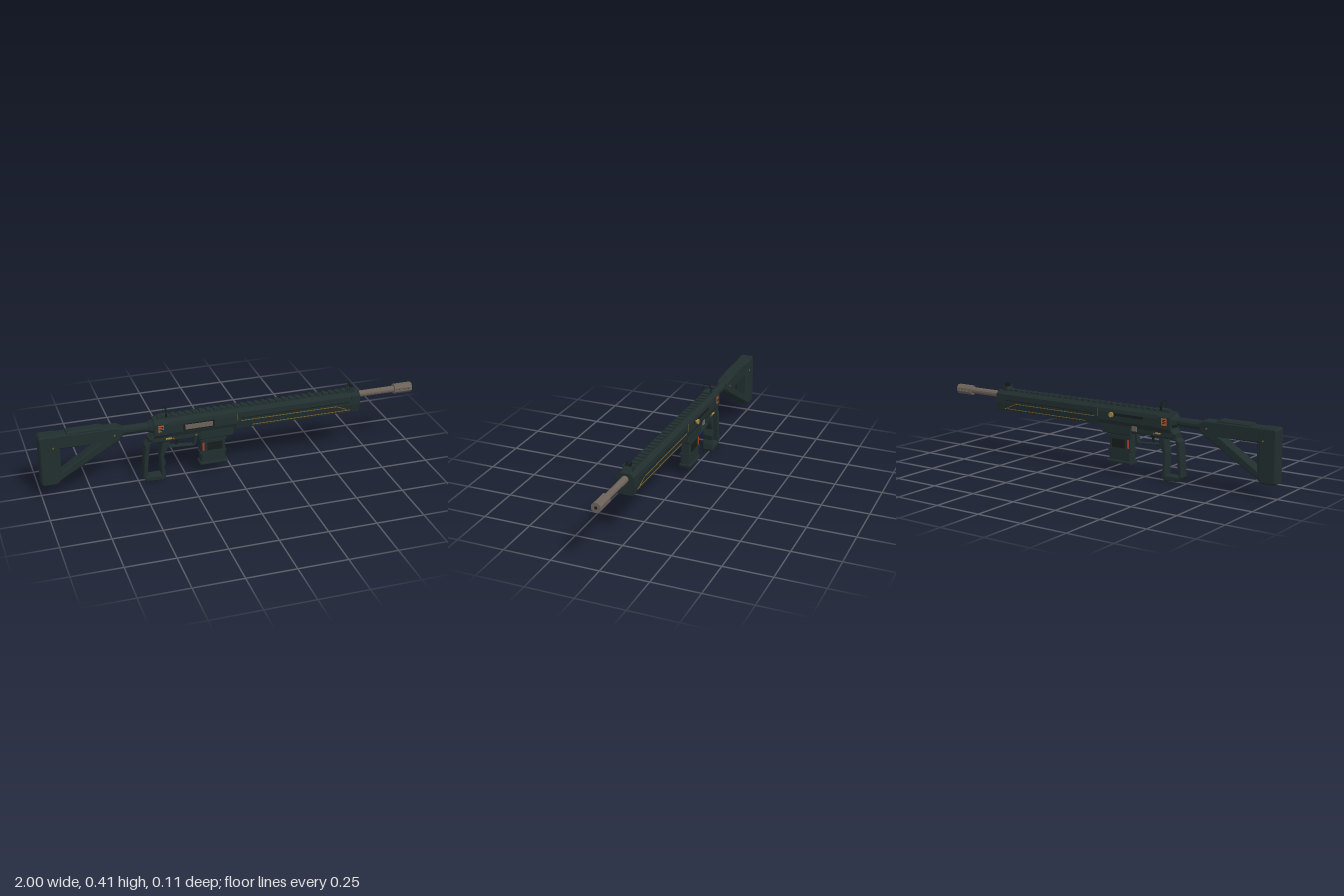
import * as THREE from 'three';

const mat = (name, color) => {
  const m = new THREE.MeshStandardMaterial({ color });
  m.name = name;
  return m;
};

export function createModel() {
  const root = new THREE.Group();
  root.name = 'rifle';
  root.position.z = 0.007;

  const body = mat('dark green polymer', 0x212e2e);
  const dark = mat('near black', 0x161d1d);
  const steel = mat('brown steel', 0x6c625a);
  const gold = mat('gold', 0xa9853c);
  const trim = mat('dark gold trim', 0x80602a);
  const orange = mat('orange', 0xb5582c);
  const red = mat('red', 0xb03a28);

  const add = (name, geo, m, x = 0, y = 0, z = 0, parent = root) => {
    const mesh = new THREE.Mesh(geo, m);
    mesh.name = name;
    mesh.position.set(x, y, z);
    parent.add(mesh);
    return mesh;
  };
  const box = (name, m, x0, x1, y0, y1, z0, z1, parent) =>
    add(name, new THREE.BoxGeometry(x1 - x0, y1 - y0, z1 - z0), m,
      (x0 + x1) / 2, (y0 + y1) / 2, (z0 + z1) / 2, parent);
  const shapeOf = (pts, holes = []) => {
    const s = new THREE.Shape(pts.map(p => new THREE.Vector2(...p)));
    holes.forEach(h => s.holes.push(new THREE.Path(h.map(p => new THREE.Vector2(...p)))));
    return s;
  };
  // Side outline with chamfered edges, w wide across z
  const plate = (name, m, pts, w, b = 0.005, holes = []) => {
    const g = new THREE.ExtrudeGeometry(shapeOf(pts, holes), {
      depth: w - 2 * b, bevelEnabled: b > 0, bevelSize: b, bevelOffset: -b,
      bevelThickness: b, bevelSegments: 1 });
    g.translate(0, 0, b - w / 2);
    return add(name, g, m);
  };
  // Mirrored cross-section given as [half width, y], run along x
  const prism = (name, m, half, x0, x1) => {
    const pts = [...half, ...half.map(([z, y]) => [-z, y]).reverse()];
    const g = new THREE.ExtrudeGeometry(shapeOf(pts), { depth: x1 - x0, bevelEnabled: false });
    g.rotateY(Math.PI / 2);
    return add(name, g, m, x0);
  };
  const rod = (name, m, r0, r1, x0, x1, y, sides = 8) => {
    const g = new THREE.CylinderGeometry(r1, r0, x1 - x0, sides).toNonIndexed();
    g.rotateY(Math.PI / sides);
    g.rotateZ(-Math.PI / 2);
    g.computeVertexNormals();
    return add(name, g, m, (x0 + x1) / 2, y);
  };

  // Shoulder stock: butt, top arm and diagonal strut round a triangular opening
  plate('stock', body, [[-1, 0.075], [-0.915, 0.075], [-0.895, 0.09], [-0.595, 0.265], [-0.575, 0.29],
    [-0.575, 0.325], [-0.6, 0.34], [-0.99, 0.345], [-1, 0.335]], 0.064, 0.008,
    [[[-0.895, 0.135], [-0.895, 0.265], [-0.69, 0.265]]]);
  plate('buttPad', body, [[-1, 0.08], [-0.99, 0.07], [-0.92, 0.07], [-0.905, 0.085], [-0.905, 0.335],
    [-0.92, 0.345], [-0.99, 0.345], [-1, 0.335]], 0.074, 0.008);
  plate('cheekRest', body, [[-0.87, 0.3], [-0.69, 0.3], [-0.62, 0.325], [-0.69, 0.352], [-0.86, 0.352]], 0.056, 0.008);
  rod('bufferTube', body, 0.023, 0.023, -0.61, -0.4, 0.307, 12);
  rod('tubeCollar', body, 0.026, 0.04, -0.445, -0.415, 0.307);

  // Receiver
  prism('upperReceiver', body,
    [[0.025, 0.35], [0.041, 0.335], [0.045, 0.318], [0.045, 0.275], [0.036, 0.25]], -0.42, 0.015);
  prism('rearBlock', body,
    [[0.025, 0.348], [0.047, 0.33], [0.047, 0.27], [0.037, 0.254]], -0.415, -0.35);
  plate('lowerReceiver', body, [[-0.445, 0.245], [-0.425, 0.222], [-0.19, 0.222], [-0.18, 0.21],
    [-0.005, 0.21], [-0.005, 0.27], [-0.42, 0.27]], 0.07, 0.006);
  plate('magazineWell', body, [[-0.185, 0.205], [-0.01, 0.205], [0, 0.215], [0, 0.28], [-0.185, 0.28]], 0.076, 0.006);

  // Handguard with trim lines on both sides
  prism('handguard', body,
    [[0.024, 0.35], [0.043, 0.333], [0.043, 0.285], [0.037, 0.243]], 0.012, 0.68);
  prism('handguardCap', body,
    [[0.025, 0.352], [0.045, 0.334], [0.045, 0.285], [0.038, 0.24]], 0.645, 0.692);
  for (const s of [-1, 1]) {
    const strip = (m, x0, y0, x1, y1, z) => {
      const len = Math.hypot(x1 - x0, y1 - y0);
      const g = new THREE.BoxGeometry(len, 0.003, 0.004);
      const b = add('trimLine', g, m, (x0 + x1) / 2, (y0 + y1) / 2, s * z);
      b.rotation.z = Math.atan2(y1 - y0, x1 - x0);
    };
    strip(trim, 0.04, 0.287, 0.56, 0.287, 0.043);
    strip(trim, 0.56, 0.287, 0.62, 0.262, 0.0415);
    strip(trim, 0.1, 0.255, 0.64, 0.255, 0.039);
    strip(trim, 0.018, 0.29, 0.018, 0.33, 0.043);
    box('handguardGroove', dark, 0.04, 0.63, 0.3, 0.304, s * 0.0435 - 0.001, s * 0.0435 + 0.001);
  }

  // Top rail with teeth
  box('rail', body, -0.41, 0.685, 0.343, 0.352, -0.021, 0.021);
  for (let x = -0.395; x < 0.67; x += 0.037)
    box('railTooth', body, x, x + 0.02, 0.35, 0.36, -0.019, 0.019);

  // Barrel and muzzle brake with three open ports
  rod('barrel', steel, 0.0175, 0.0175, 0.66, 0.91, 0.322, 12);
  for (const s of [-1, 1])
    prism('muzzleShell', steel,
      [[0.024, 0.322 + s * 0.006], [0.024, 0.322 + s * 0.01], [0.01, 0.322 + s * 0.025]], 0.9, 1);
  [[0.9, 0.921], [0.931, 0.946], [0.956, 0.971], [0.981, 1]].forEach(([a, b]) =>
    box('muzzleRib', steel, a, b, 0.3155, 0.3285, -0.024, 0.024));
  const bore = add('bore', new THREE.CircleGeometry(0.008, 10), dark, 1.0005, 0.322);
  bore.rotation.y = Math.PI / 2;

  // Open loop grip with finger notches
  plate('grip', body, [[-0.445, 0.25], [-0.445, 0.225], [-0.465, 0.21], [-0.48, 0.03], [-0.465, 0.006],
    [-0.375, 0], [-0.362, 0.015], [-0.363, 0.05], [-0.37, 0.07], [-0.36, 0.1], [-0.37, 0.135],
    [-0.345, 0.185], [-0.34, 0.25]], 0.055, 0.004,
    [[[-0.44, 0.215], [-0.375, 0.218], [-0.388, 0.14], [-0.383, 0.03], [-0.46, 0.03]]]);

  // Trigger and guard
  plate('triggerGuard', body, [[-0.35, 0.23], [-0.345, 0.175], [-0.205, 0.165], [-0.195, 0.175],
    [-0.185, 0.23]], 0.028, 0.002,
    [[[-0.338, 0.222], [-0.337, 0.183], [-0.21, 0.174], [-0.2, 0.222]]]);
  plate('trigger', dark, [[-0.305, 0.23], [-0.285, 0.23], [-0.288, 0.2], [-0.297, 0.183], [-0.302, 0.185],
    [-0.298, 0.2]], 0.012, 0.002);

  // Magazine with ribs, base plate and red gauge
  plate('magazine', body, [[-0.175, 0.23], [-0.172, 0.06], [-0.04, 0.06], [-0.045, 0.23]], 0.054, 0.006);
  box('magazineRib', body, -0.178, -0.037, 0.118, 0.128, -0.029, 0.029);
  box('magazineRib', body, -0.178, -0.037, 0.19, 0.2, -0.03, 0.03);
  plate('magazineBase', body, [[-0.178, 0.068], [-0.178, 0.053], [-0.033, 0.053], [-0.03, 0.068]], 0.062, 0.004);
  for (const s of [-1, 1]) {
    box('magazineGauge', red, -0.165, -0.156, 0.137, 0.182, s * 0.0275 - 0.002, s * 0.0275 + 0.002);
    box('magazinePanel', dark, -0.14, -0.06, 0.135, 0.18, s * 0.0275 - 0.001, s * 0.0275 + 0.001);
    // Marked rear panels, selectors and pins
    box('orangePanel', orange, -0.4, -0.37, 0.288, 0.325, s * 0.0465 - 0.002, s * 0.0465 + 0.002);
    [0.298, 0.306, 0.314].forEach(y =>
      box('panelBar', dark, -0.395, -0.375, y, y + 0.003, s * 0.0485 - 0.001, s * 0.0485 + 0.001));
    box('selector', gold, -0.36, -0.33, 0.238, 0.245, s * 0.037 - 0.004, s * 0.037 + 0.004);
    [[-0.32, 0.238, 0.035], [-0.2, 0.24, 0.035], [-0.93, 0.28, 0.037], [-0.62, 0.3, 0.032]].forEach(([x, y, z]) => {
      const pin = add('pin', new THREE.CylinderGeometry(0.005, 0.005, 0.004, 8), trim, x, y, s * z);
      pin.rotation.x = Math.PI / 2;
    });
  }
  box('forwardPlate', body, -0.4, -0.37, 0.285, 0.3, 0.044, 0.0485);

  // Ejection port on the front side, charging handle on the back side
  box('portFrame', dark, -0.268, -0.105, 0.278, 0.316, 0.042, 0.046);
  box('ejectionCover', steel, -0.26, -0.115, 0.284, 0.311, 0.042, 0.0475);
  box('handleSlot', dark, -0.26, -0.05, 0.302, 0.316, -0.046, -0.042);
  const knob = (r, z0, z1) => {
    const k = add('chargingHandle', new THREE.CylinderGeometry(r, r, z1 - z0, 10), gold, -0.075, 0.309, (z0 + z1) / 2);
    k.rotation.x = Math.PI / 2;
  };
  knob(0.007, -0.056, -0.04);
  knob(0.0135, -0.063, -0.054);
  box('boltRelease', steel, -0.22, -0.19, 0.235, 0.262, -0.041, -0.034);

  // Rear sight: thin six-sided hoop
  const hoop = k => [[-0.027 * k, 0.377], [-0.0145 * k, 0.377 + 0.028 * k], [0.0145 * k, 0.377 + 0.028 * k],
    [0.027 * k, 0.377], [0.018 * k, 0.377 - 0.026 * k], [-0.018 * k, 0.377 - 0.026 * k]];
  const ring = new THREE.ExtrudeGeometry(shapeOf(hoop(1), [hoop(0.85)]), { depth: 0.01, bevelEnabled: false });
  ring.rotateY(Math.PI / 2);
  add('rearSight', ring, dark, -0.357);
  box('rearSightBase', body, -0.375, -0.335, 0.35, 0.363, -0.02, 0.02);

  // Front sight: base, ears and centre post
  plate('frontSightBase', body, [[0.625, 0.35], [0.675, 0.35], [0.66, 0.37], [0.64, 0.37]], 0.046, 0.003);
  for (const s of [-1, 1]) {
    box('frontSightEar', dark, 0.641, 0.657, 0.36, 0.391, s * 0.011 - 0.0025, s * 0.011 + 0.0025);
    box('frontSightWing', body, 0.636, 0.662, 0.35, 0.376, s * 0.024 - 0.003, s * 0.024 + 0.003);
  }
  box('frontSightPost', dark, 0.646, 0.652, 0.36, 0.38, -0.002, 0.002);

  return root;
}
